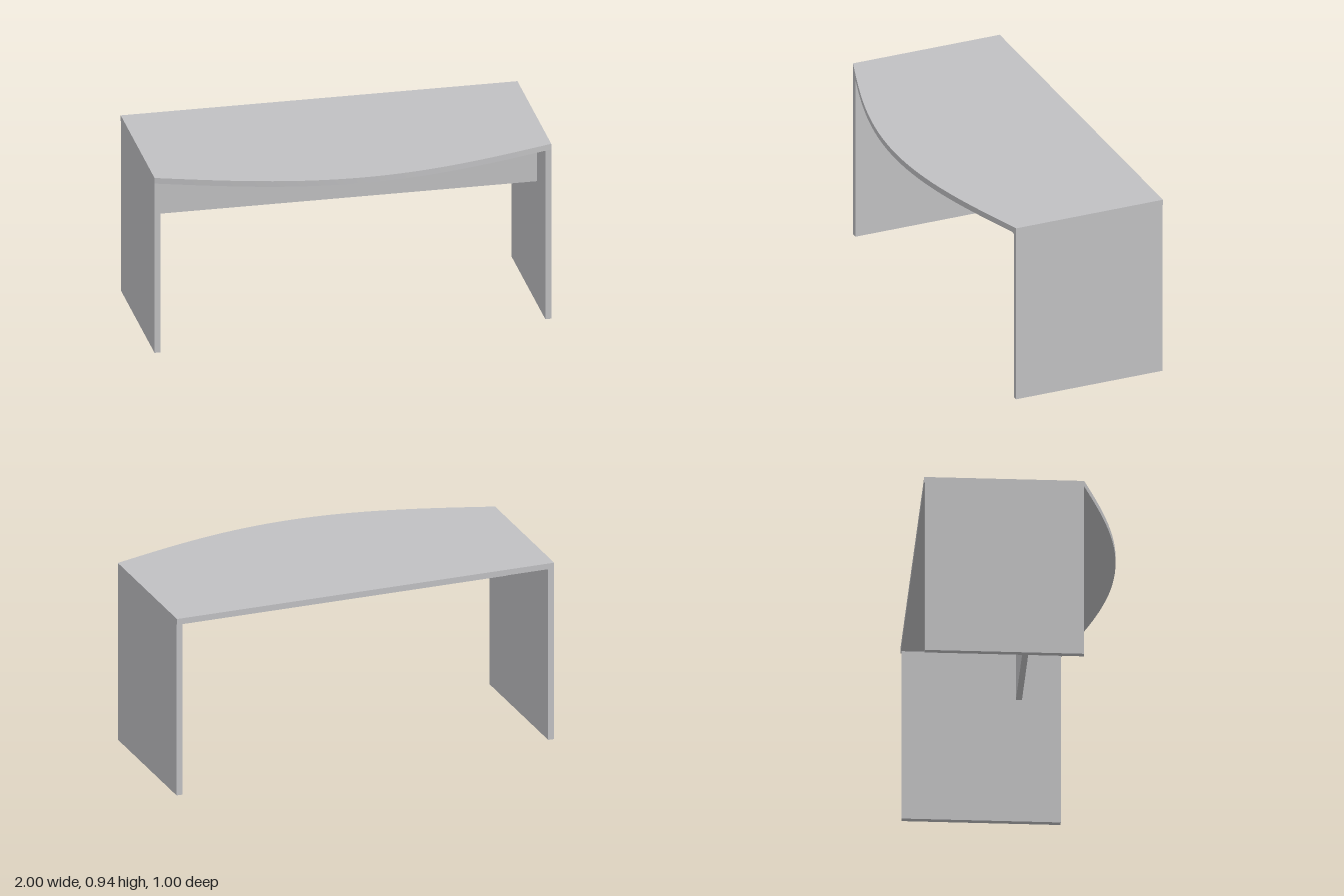
import * as THREE from 'three';
import { toCreasedNormals } from 'three/addons/utils/BufferGeometryUtils.js';

const TOP = 0.94, UNDER = 0.91, BACK = -0.5, SIDE = 0.29, BOW = 0.21, BOARD = 0.03;

export function createModel() {
  const desk = new THREE.Group();
  desk.name = 'desk';
  const grey = new THREE.MeshStandardMaterial({ color: 0xc0c0c2 });
  grey.name = 'light grey laminate';

  function add(name, geometry, x = 0, y = 0, z = 0) {
    const mesh = new THREE.Mesh(geometry, grey);
    mesh.name = name;
    mesh.position.set(x, y, z);
    desk.add(mesh);
  }

  // Desktop: straight back and sides, bowed front edge
  const outline = new THREE.Shape();
  outline.moveTo(-1, BACK);
  outline.lineTo(1, BACK);
  const steps = 32;
  for (let i = 0; i <= steps; i++) {
    const x = 1 - (2 * i) / steps;
    outline.lineTo(x, SIDE + BOW * Math.cos((x * Math.PI) / 2));
  }
  outline.closePath();
  const slab = new THREE.ExtrudeGeometry(outline, { depth: TOP - UNDER, bevelEnabled: false });
  slab.rotateX(Math.PI / 2);
  add('desktop', toCreasedNormals(slab, 0.5), 0, TOP, 0);

  // Side panels that carry the desktop
  const legBack = BACK + 0.004;
  const legDepth = SIDE - legBack;
  for (const [name, side] of [['leftSidePanel', 1], ['rightSidePanel', -1]]) {
    add(name, new THREE.BoxGeometry(BOARD, UNDER, legDepth),
      side * (1 - BOARD / 2), UNDER / 2, legBack + legDepth / 2);
  }

  // Modesty panel between the sides, hanging under the desktop
  const panelBottom = 0.66;
  add('modestyPanel', new THREE.BoxGeometry(2 - 2 * BOARD, UNDER - panelBottom, BOARD),
    0, (UNDER + panelBottom) / 2, 0.083);

  return desk;
}
